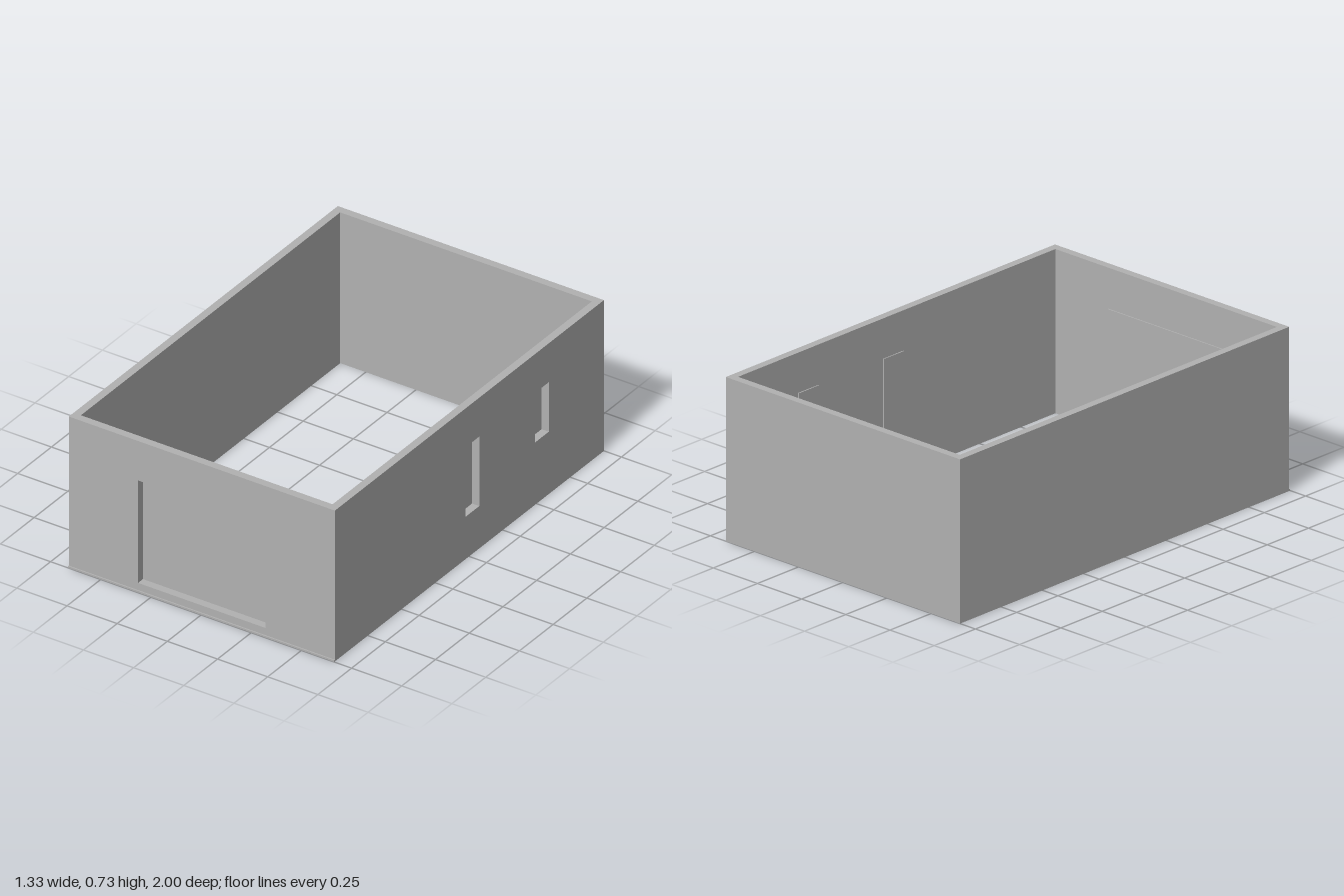
import * as THREE from 'three';

const W = 0.663, H = 0.733, T = 0.036; // half width, height, wall thickness
const BACK = -1, FRONT = 0.994;
const RIM = 0.009, PANEL = 0.005; // panel overlap around an opening, panel thickness

export function createModel() {
  const group = new THREE.Group();
  const grey = new THREE.MeshStandardMaterial({ color: 0xb2b2b2 });
  grey.name = 'plain grey';

  const add = (name, geometry) => {
    const mesh = new THREE.Mesh(geometry, grey);
    mesh.name = name;
    group.add(mesh);
  };

  // box given by its minimum and maximum on each axis
  const box = (name, [x0, x1], [y0, y1], [z0, z1]) => add(name,
    new THREE.BoxGeometry(x1 - x0, y1 - y0, z1 - z0)
      .translate((x0 + x1) / 2, (y0 + y1) / 2, (z0 + z1) / 2));

  const corners = ([a0, a1], [y0, y1]) => [[a0, y0], [a1, y0], [a1, y1], [a0, y1]]
    .map(([a, y]) => new THREE.Vector2(a, y));

  // wall slab with rectangular openings, running along its local x
  const wallWithOpenings = (span, openings) => {
    const shape = new THREE.Shape(corners(span, [0, H]));
    for (const o of openings) shape.holes.push(new THREE.Path(corners(o.a, o.y).reverse()));
    return new THREE.ExtrudeGeometry(shape, { depth: T, bevelEnabled: false });
  };

  const grow = ([lo, hi]) => [lo - RIM, hi + RIM];

  // front wall with its wide door, closed by a panel on the inside
  const door = { a: [-0.318, 0.318], y: [0.043, 0.541] };
  add('frontWall', wallWithOpenings([-W, W], [door]).translate(0, 0, FRONT - T));
  box('doorPanel', grow(door.a), grow(door.y), [FRONT - T - PANEL, FRONT - T]);

  // side wall with two narrow windows, closed by panels on the inside
  const windows = [
    { a: [-0.076, 0.027], y: [0.206, 0.544] },
    { a: [-0.591, -0.488], y: [0.303, 0.544] },
  ];
  add('leftWall', wallWithOpenings([BACK + T, FRONT - T], windows)
    .rotateY(-Math.PI / 2).translate(W, 0, 0));
  for (const w of windows) box('windowPanel', [W - T - PANEL, W - T], grow(w.y), grow(w.a));

  // plain walls
  box('rightWall', [-W, -W + T], [0, H], [BACK + T, FRONT - T]);
  box('backWall', [-W, W], [0, H], [BACK, BACK + T]);

  // low lip along the foot of the front wall
  box('frontLip', [-W, W], [0, 0.008], [FRONT, 1]);

  return group;
}
